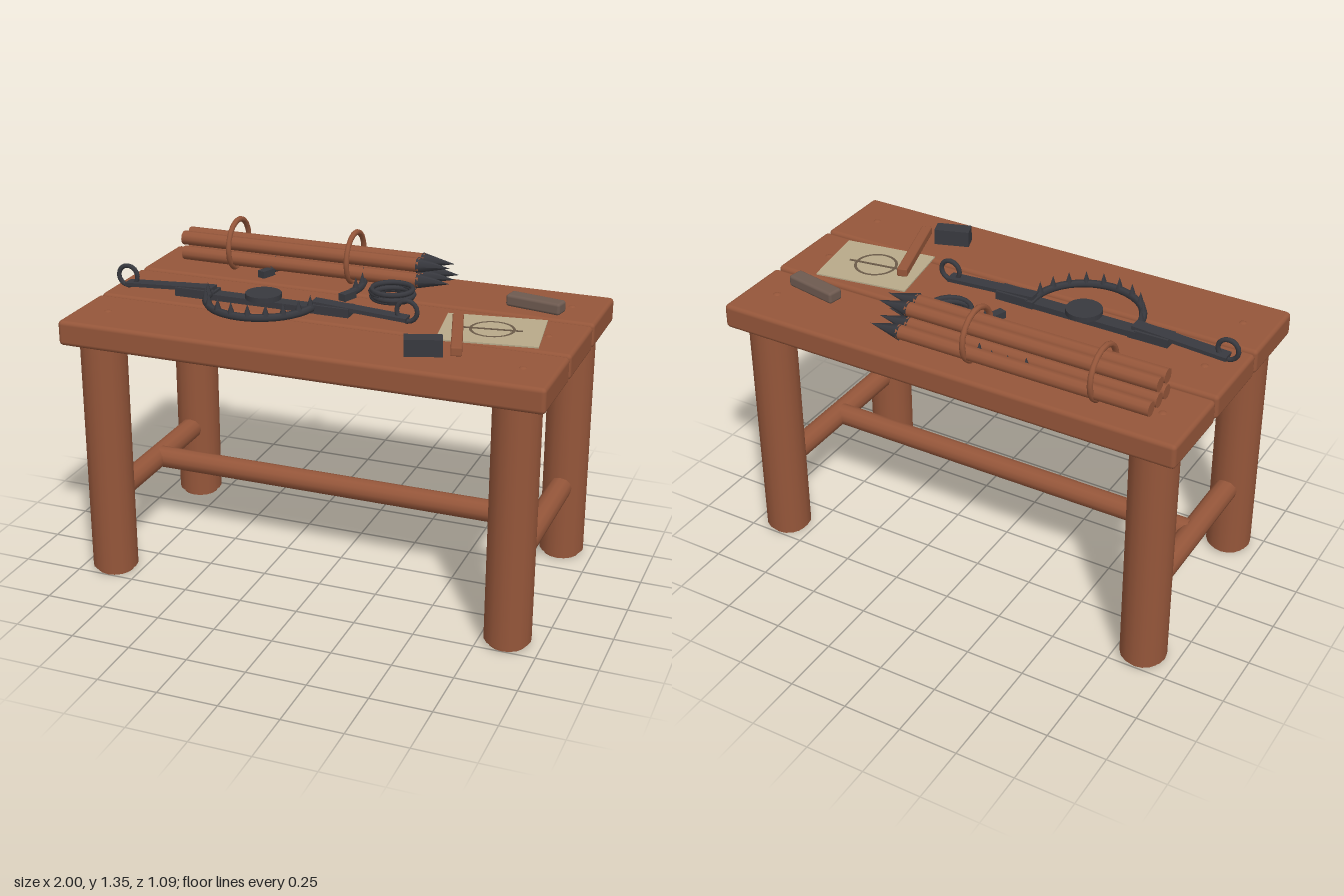
import * as THREE from 'three';
import { RoundedBoxGeometry } from 'three/addons/geometries/RoundedBoxGeometry.js';

const material = (name, color) => {
  const m = new THREE.MeshStandardMaterial({ color });
  m.name = name;
  return m;
};

export function createModel() {
  const wood = material('wood', 0x95563a);
  const iron = material('iron', 0x38393f);
  const parchment = material('parchment', 0xb8aa8a);
  const ink = material('ink', 0x6b5a48);
  const stone = material('stone', 0x6e5a50);

  const model = new THREE.Group();
  model.name = 'workbench';
  const TOP = 1.135;

  const add = (parent, name, geo, mat, [x, y, z], [rx, ry, rz] = [0, 0, 0]) => {
    const mesh = new THREE.Mesh(geo, mat);
    mesh.name = name;
    mesh.position.set(x, y, z);
    mesh.rotation.set(rx, ry, rz);
    parent.add(mesh);
    return mesh;
  };
  const group = (name, x = 0, y = 0, z = 0, ry = 0) => {
    const g = new THREE.Group();
    g.name = name;
    g.position.set(x, y, z);
    g.rotation.y = ry;
    model.add(g);
    return g;
  };
  const box = (w, h, d) => new THREE.BoxGeometry(w, h, d);
  const rod = (r, len, sides = 16, r2 = r) => new THREE.CylinderGeometry(r2, r, len, sides);

  // Table top: three planks with domed pegs
  for (const z of [-0.367, 0.002, 0.367]) {
    add(model, 'plank', new RoundedBoxGeometry(2, 0.105, 0.355, 2, 0.018), wood, [0, 1.0825, z]);
    for (const x of [-0.865, 0.865])
      add(model, 'peg', new THREE.SphereGeometry(0.021, 10, 4, 0, Math.PI * 2, 0, Math.PI / 2), wood,
        [x, TOP - 0.008, z]).scale.y = 0.6;
  }

  // Legs with small feet, and the stretchers joining them
  for (const x of [-0.865, 0.865]) {
    for (const z of [-0.415, 0.42]) {
      add(model, 'leg', rod(0.095, 1.02), wood, [x, 0.53, z]);
      add(model, 'foot', rod(0.078, 0.03), wood, [x, 0.015, z]);
    }
    add(model, 'sideStretcher', rod(0.049, 0.7, 12), wood, [x, 0.338, 0], [Math.PI / 2, 0, 0]);
  }
  add(model, 'longStretcher', rod(0.046, 1.7, 12), wood, [0, 0.342, 0], [0, 0, Math.PI / 2]);

  // Bundle of sharpened stakes: three below, two above
  const bundle = group('stakeBundle');
  const stakes = [[1.187, -0.438], [1.187, -0.371], [1.187, -0.307], [1.255, -0.371], [1.255, -0.305]];
  for (const [y, z] of stakes) {
    add(bundle, 'stakeShaft', rod(0.03, 1.08, 10), wood, [-0.31, y, z], [0, 0, -Math.PI / 2]);
    add(bundle, 'stakePoint', new THREE.ConeGeometry(0.034, 0.14, 6), iron, [0.29, y, z], [0, 0, -Math.PI / 2]);
  }
  for (const x of [-0.62, -0.08])
    add(bundle, 'bundleHoop', new THREE.TorusGeometry(0.107, 0.012, 8, 18), wood, [x, 1.235, -0.37], [0, Math.PI / 2, 0]);

  // Half-ring jaw with upright teeth, bulging towards its own +z
  const addJaw = (x, z, ry) => {
    const jaw = group('trapJaw', x, 1.165, z, ry);
    const R = 0.228;
    add(jaw, 'jawArc', new THREE.TorusGeometry(R, 0.016, 6, 20, Math.PI), iron, [0, 0, 0], [Math.PI / 2, 0, 0]);
    for (let i = 0; i < 10; i++) {
      const a = Math.PI * (i + 0.5) / 10;
      add(jaw, 'jawTooth', new THREE.ConeGeometry(0.016, 0.05, 5), iron, [R * Math.cos(a), 0.032, R * Math.sin(a)]);
    }
    for (const s of [-1, 1])
      add(jaw, 'jawHinge', box(0.035, 0.03, 0.07), iron, [s * R, -0.008, -0.02]);
  };
  addJaw(-0.31, 0.085, 0);
  addJaw(-0.22, -0.2, Math.PI - 0.345);

  // Trap body: base bar, springs, clamps, end rings and pressure plate
  const trap = group('trap', -0.31, 0, 0.072);
  add(trap, 'trapBar', box(0.76, 0.025, 0.06), iron, [0, 1.15, 0]);
  add(trap, 'pressurePlate', rod(0.075, 0.022, 18), iron, [0, 1.178, 0]);
  for (const s of [-1, 1]) {
    add(trap, 'trapSpring', box(0.4, 0.016, 0.055), iron, [s * 0.42, 1.168, 0], [0, 0, -s * 0.06]);
    add(trap, 'trapClamp', box(0.145, 0.036, 0.076), iron, [s * 0.31, 1.158, 0]);
    add(trap, 'trapRing', new THREE.TorusGeometry(0.043, 0.01, 8, 16), iron, [s * 0.617, 1.188, 0]);
  }

  // Coil of wire
  [[0.15, -0.195], [0.158, -0.185], [0.148, -0.19], [0.155, -0.182]].forEach(([x, z], i) =>
    add(model, 'wireCoil', new THREE.TorusGeometry(0.085, 0.011, 6, 20), iron, [x, 1.146 + i * 0.012, z], [Math.PI / 2, 0, 0]));

  // Drawing on parchment: a circle crossed by a line
  const sheet = group('drawing', 0.645, TOP, 0.027, 0.15);
  add(sheet, 'sheet', box(0.4, 0.006, 0.31), parchment, [0, 0.003, 0]);
  add(sheet, 'drawnCircle', new THREE.RingGeometry(0.08, 0.092, 28), ink, [0, 0.0075, 0], [-Math.PI / 2, 0, 0]);
  add(sheet, 'drawnLine', box(0.24, 0.003, 0.01), ink, [0, 0.0075, 0]);

  // Hammer: loose handle and head
  add(model, 'hammerHandle', new RoundedBoxGeometry(0.044, 0.036, 0.39, 1, 0.005), wood, [0.55, 1.161, 0.18], [0, 0.29, 0]);
  add(model, 'hammerHead', box(0.148, 0.068, 0.066), iron, [0.475, 1.17, 0.367], [0, 0.33, 0]);

  // Whetstone
  add(model, 'whetstone', new RoundedBoxGeometry(0.24, 0.05, 0.068, 2, 0.012), stone, [0.735, 1.162, -0.28], [0, -0.19, 0]);

  return model;
}
